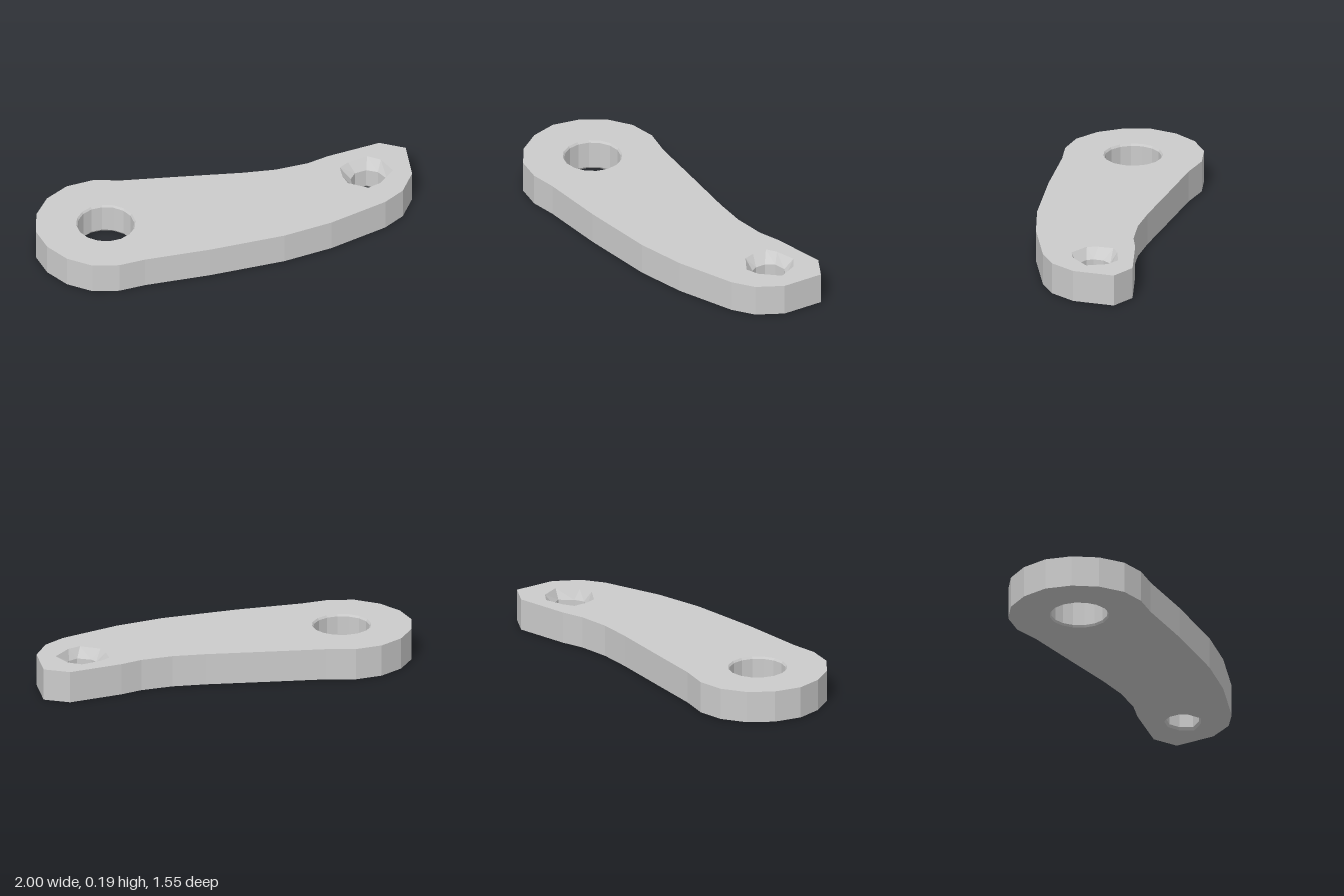
import * as THREE from 'three';

const HEIGHT = 0.187;

// Plan outline of the arm as [x, z], clockwise seen from above
const OUTLINE = [
  [0.74, -0.78], [0.90, -0.775], [1.0, -0.55], [0.99, -0.38], [0.92, -0.25], [0.67, 0.02],
  [0.44, 0.21], [0.06, 0.45], [-0.28, 0.64], [-0.41, 0.73], [-0.56, 0.775], [-0.72, 0.75],
  [-0.86, 0.67], [-0.96, 0.55], [-1.0, 0.39], [-0.98, 0.23], [-0.90, 0.09], [-0.77, -0.005],
  [-0.60, -0.05], [-0.29, -0.17], [0.05, -0.30], [0.23, -0.38], [0.39, -0.485], [0.485, -0.58],
];

// Uneven countersink rim and bore of the small hole
const SINK = [
  [0.705, -0.64], [0.79, -0.63], [0.885, -0.55], [0.845, -0.415], [0.79, -0.355],
  [0.665, -0.365], [0.62, -0.415], [0.58, -0.495], [0.615, -0.555],
];
const BORE = [
  [0.715, -0.585], [0.785, -0.585], [0.85, -0.54], [0.83, -0.45], [0.795, -0.40],
  [0.71, -0.40], [0.675, -0.425], [0.65, -0.48], [0.66, -0.54],
];

const circle = (cx, cz, r, n) => Array.from({ length: n }, (_, i) => {
  const a = (i / n) * Math.PI * 2;
  return [cx + r * Math.cos(a), cz + r * Math.sin(a)];
});

const scaled = (pts, cx, cz, s) => pts.map(([x, z]) => [cx + (x - cx) * s, cz + (z - cz) * s]);

// Wall through rings [points, y]; rising rings face outward, falling rings inward
function wall(rings) {
  const pos = [];
  for (let r = 0; r < rings.length - 1; r++) {
    const [a, ya] = rings[r];
    const [b, yb] = rings[r + 1];
    for (let i = 0; i < a.length; i++) {
      const j = (i + 1) % a.length;
      const a0 = [a[i][0], ya, a[i][1]], a1 = [a[j][0], ya, a[j][1]];
      const b0 = [b[i][0], yb, b[i][1]], b1 = [b[j][0], yb, b[j][1]];
      pos.push(...a0, ...b0, ...b1, ...a0, ...b1, ...a1);
    }
  }
  const geo = new THREE.BufferGeometry();
  geo.setAttribute('position', new THREE.Float32BufferAttribute(pos, 3));
  geo.computeVertexNormals();
  return geo;
}

// Flat face with holes, facing up (dir = 1) or down (dir = -1)
function face(holes, y, dir) {
  const flat = (pts) => pts.map(([x, z]) => new THREE.Vector2(x, -dir * z));
  const shape = new THREE.Shape(flat(OUTLINE));
  for (const h of holes) shape.holes.push(new THREE.Path(flat(h)));
  return new THREE.ShapeGeometry(shape).rotateX(-dir * Math.PI / 2).translate(0, y, 0);
}

export function createModel() {
  const group = new THREE.Group();
  group.name = 'linkArm';
  const material = new THREE.MeshStandardMaterial({ color: 0xcccccc, flatShading: true });
  const add = (name, geo) => {
    const mesh = new THREE.Mesh(geo, material);
    mesh.name = name;
    group.add(mesh);
  };

  const pivot = circle(-0.59, 0.365, 0.165, 16);
  const pivotRim = circle(-0.59, 0.365, 0.173, 16);
  const boreRim = scaled(BORE, 0.75, -0.495, 1.12);

  // Plate faces and outer edge
  add('topFace', face([pivotRim, SINK], HEIGHT, 1));
  add('bottomFace', face([pivotRim, boreRim], 0, -1));
  add('outerEdge', wall([[OUTLINE, 0], [OUTLINE, HEIGHT]]));

  // Large hole, lightly chamfered at both ends
  add('pivotHole', wall([
    [pivotRim, HEIGHT], [pivot, HEIGHT - 0.012], [pivot, 0.012], [pivotRim, 0],
  ]));

  // Small countersunk hole
  add('countersunkHole', wall([
    [SINK, HEIGHT], [BORE, HEIGHT - 0.06], [BORE, 0.015], [boreRim, 0],
  ]));

  return group;
}
